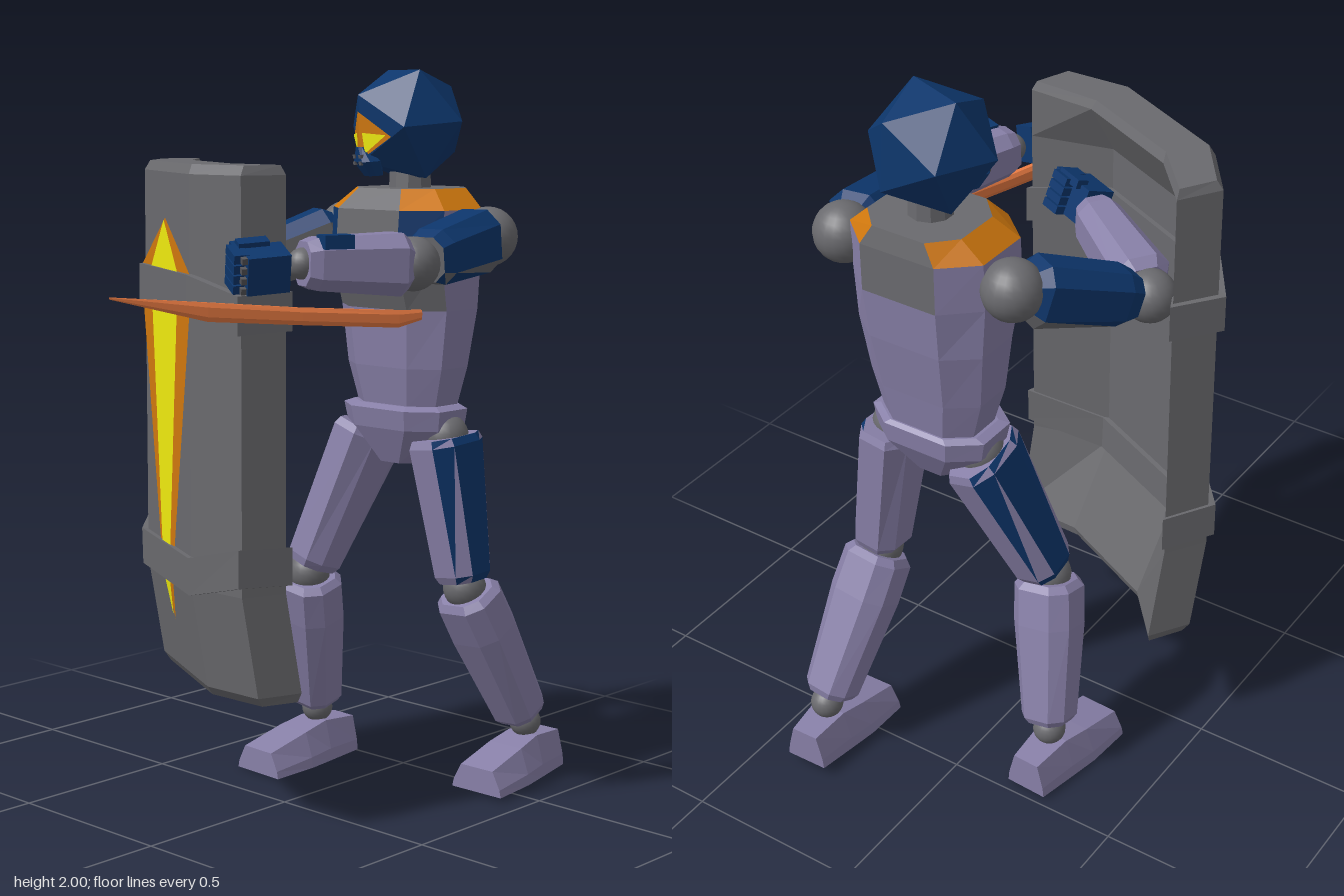
import * as THREE from 'three';

const V = (x, y, z) => new THREE.Vector3(x, y, z);
const mat = (color, extra = {}) => new THREE.MeshStandardMaterial({ color, flatShading: true, ...extra });
const LILAC = mat(0x8880a8), BLUE = mat(0x0d366c), GREY = mat(0x6a6a6e), ORANGE = mat(0xd0780e);
const BLADE = mat(0xe87a42), DARK = mat(0x55555a);
const JOINT = mat(0x6a6a6e, { flatShading: false });
const ORANGE2 = mat(0xd0780e, { side: THREE.DoubleSide }), YELLOW2 = mat(0xf0ec10, { side: THREE.DoubleSide });

function soup(points, material, name) {
  const g = new THREE.BufferGeometry().setFromPoints(points);
  g.computeVertexNormals();
  const m = new THREE.Mesh(g, material);
  m.name = name;
  return m;
}

// Skins a list of rings (counter-clockwise around the direction of travel);
// pick(normal, band, triangle) chooses the material of each triangle.
function loft(name, rings, pick) {
  const parts = new Map(), n = rings[0].length;
  const tri = (a, b, c, i, k) => {
    const normal = b.clone().sub(a).cross(c.clone().sub(a)).normalize();
    const m = pick.isMaterial ? pick : pick(normal, i, k);
    if (!parts.has(m)) parts.set(m, []);
    parts.get(m).push(a, b, c);
  };
  for (let i = 0; i < rings.length - 1; i++) for (let j = 0; j < n; j++) {
    const k = (j + 1) % n, [p, q] = [rings[i], rings[i + 1]];
    tri(p[j], p[k], q[k], i, 0);
    tri(p[j], q[k], q[j], i, 1);
  }
  const first = rings[0], last = rings.at(-1);
  for (let j = 0; j < n / 2 - 1; j++) {
    const ids = [j, j + 1, n - 2 - j, n - 1 - j];
    const [a, b, c, d] = ids.map(i => last[i]), [e, f, g, h] = ids.map(i => first[i]);
    tri(a, b, c, rings.length - 1, 0); tri(a, c, d, rings.length - 1, 1);
    tri(e, g, f, -1, 0); tri(e, h, g, -1, 1);
  }
  const group = new THREE.Group();
  group.name = name;
  for (const [m, pts] of parts) group.add(soup(pts, m, name + 'Panel'));
  return group;
}

// Rectangle with cut corners, spanned by two axes.
const CUT = [[1, -.5], [1, .5], [.55, 1], [-.55, 1], [-1, .5], [-1, -.5], [-.55, -1], [.55, -1]];
const section = (c, w, v, hw, hv) => CUT.map(([a, b]) => c.clone().addScaledVector(w, a * hw).addScaledVector(v, b * hv));

// Tapered limb between two joints; profile rows are [t, half width, half depth].
function limb(name, a, b, profile, pick, ref = V(1, 0, 0)) {
  const d = b.clone().sub(a).normalize();
  const w = ref.clone().addScaledVector(d, -ref.dot(d)).normalize(), v = d.clone().cross(w);
  return loft(name, profile.map(([t, hw, hv]) => section(a.clone().lerp(b, t), w, v, hw, hv)), pick);
}

function ball(name, p, r) {
  const m = new THREE.Mesh(new THREE.SphereGeometry(r, 20, 14), JOINT);
  m.position.copy(p);
  m.name = name;
  return m;
}

function box(name, size, p, material) {
  const m = new THREE.Mesh(new THREE.BoxGeometry(...size), material);
  m.position.set(...p);
  m.name = name;
  return m;
}

function makeFist(name, p, target, side) {
  const g = new THREE.Group();
  g.name = name;
  g.add(box('palm', [.085, .1, .11], [0, 0, 0], BLUE));
  for (let i = 0; i < 4; i++) {
    const y = .04 - i * .027;
    g.add(box('finger', [.07, .023, .04], [side * .015, y, .065], BLUE));
    g.add(box('knuckle', [.03, .016, .018], [side * -.02, y, .06], DARK));
    g.add(box('fingertip', [.03, .022, .06], [side * .055, y, .04], BLUE));
  }
  g.add(box('thumb', [.035, .025, .08], [side * .04, .05, .02], BLUE));
  g.position.copy(p);
  g.lookAt(target);
  g.rotateZ(side * .35);
  return g;
}

function makeHead() {
  const g = new THREE.Group();
  g.name = 'head';
  const helmet = new THREE.Mesh(new THREE.IcosahedronGeometry(.17, 0), BLUE);
  helmet.name = 'helmet';
  g.add(helmet);
  // Visor plates lie on the two front facets
  const on = (s, lift) => ([x, y]) => V(s * x, y, .145 - .386 * x + lift);
  for (const s of [-1, 1]) {
    g.add(soup([[0, .045], [0, -.085], [.105, -.025]].map(on(s, .004)), ORANGE2, 'visorFrame'));
    g.add(soup([[.014, -.012], [.02, -.068], [.092, -.02]].map(on(s, .008)), YELLOW2, 'eye'));
    for (const y of [-.075, -.093]) g.add(box('vent', [.012, .01, .01], [s * .016, y, .156], DARK));
  }
  const guard = [[-.13, .03, .02, .112], [-.09, .042, .03, .128], [-.05, .012, .018, .14]];
  g.add(loft('mouthGuard', guard.map(([y, w, d, z]) => section(V(0, y, z), V(1, 0, 0), V(0, 0, -1), w, d)), BLUE));
  g.position.set(.105, 1.857, -.37);
  g.rotation.set(.08, -.35, 0, 'YXZ');
  return g;
}

function makeTorso() {
  const g = new THREE.Group();
  g.name = 'torso';
  const stack = (name, rows, pick) => loft(name, rows.map(([y, hw, z0, z1]) =>
    section(V(.105, y, (z0 + z1) / 2), V(1, 0, 0), V(0, 0, -1), hw, (z1 - z0) / 2)), pick);
  // Grey breastplate with blue flanks and orange shoulder slopes
  g.add(stack('chest', [[1.09, .14, -.475, -.29], [1.2, .17, -.49, -.27], [1.36, .19, -.515, -.255],
    [1.5, .2, -.53, -.205], [1.63, .2, -.53, -.215], [1.685, .14, -.52, -.26]], (n, i) => {
    if (i >= 4) return Math.abs(n.x) > .3 ? ORANGE : GREY;
    if (i >= 2 && n.z > .8) return GREY;
    if (i >= 2 && n.z > .3) return i === 3 ? BLUE : GREY;
    return i === 3 && n.z < -.85 ? GREY : LILAC;
  }));
  g.add(stack('pelvis', [[.93, .06, -.43, -.31], [1.03, .165, -.485, -.265], [1.085, .175, -.49, -.255], [1.095, .15, -.48, -.28]], LILAC));
  const neck = new THREE.Mesh(new THREE.CylinderGeometry(.055, .06, .12, 10), GREY);
  neck.position.set(.105, 1.72, -.385);
  neck.name = 'neck';
  g.add(neck);
  return g;
}

function makeLeg(side, hip, knee, ankle, heel, toe) {
  const g = new THREE.Group();
  g.name = side > 0 ? 'leftLeg' : 'rightLeg';
  // Blue plate on the outer thigh, narrowing along a diagonal on the front
  g.add(limb('thigh', hip, knee, [[0, .065, .1], [.05, .075, .107], [.9, .068, .075], [.95, .055, .065]],
    (n, i, k) => i >= 0 && i < 3 && (n.x * side > .8 || (n.x * side > .3 && k === 0)) ? BLUE : LILAC));
  g.add(limb('shin', knee, ankle, [[.03, .07, .065], [.07, .086, .08], [.3, .088, .08], [.9, .068, .068], [.94, .056, .056]], LILAC));
  g.add(ball('hipJoint', hip, .065), ball('kneeJoint', knee, .06), ball('ankleJoint', ankle, .045));
  // Foot: rows are [t from heel to toe, half width, top above the sole]
  const d = toe.clone().sub(heel).setY(0).normalize(), w = V(0, 1, 0).cross(d);
  g.add(loft('foot', [[0, .06, .1], [.35, .075, .115], [.6, .085, .1], [1, .085, .07]].map(([t, hw, h]) => {
    const c = heel.clone().lerp(toe, t);
    return [[1, 0], [.95, .3], [.65, 1], [-.65, 1], [-.95, .3], [-1, 0]].map(([a, b]) =>
      c.clone().addScaledVector(w, a * hw).add(V(0, b * h, 0)));
  }), LILAC));
  return g;
}

function makeArm(side, shoulder, elbow, wrist, hand, target) {
  const g = new THREE.Group();
  g.name = side > 0 ? 'leftArm' : 'rightArm';
  const up = V(0, 1, 0);
  g.add(limb('upperArm', shoulder, elbow, [[.08, .06, .055], [.16, .084, .076], [.75, .072, .07], [.85, .058, .058]],
    (n, i, k) => n.y > .4 || (n.x * side > .3 && (n.y > -.2 || k)) ? BLUE : GREY, up));
  g.add(limb('forearm', elbow, wrist, [[.08, .062, .058], [.16, .08, .076], [.9, .066, .06], [1, .055, .048]], LILAC, up));
  g.add(ball('shoulderJoint', shoulder, .08), ball('elbowJoint', elbow, .07), ball('wristJoint', wrist, .04));
  g.add(makeFist('fist', hand, target, -side));
  return g;
}

function makeShield() {
  const g = new THREE.Group();
  g.name = 'shield';
  const half = [[.36, 0], [.2, .085]];
  const flip = ([u, n]) => [-u, n];
  // Outline grown by o, with the inner face at the given depth
  const profile = (o, depth) => {
    const f = half.map(([u, n]) => [u + o, n + o]);
    const b = [[.345, -.125], [.17, depth]].map(([u, n]) => [u + o * .6, n - o]);
    return [...f.map(flip), f[1], f[0], ...b, flip(b[1]), flip(b[0])];
  };
  // The lower end leans back
  const lean = y => Math.min(0, (y - .66) * .16);
  const at = (u, n, y) => V(-.155 + .9 * u - .44 * (n + lean(y)), y, .172 + .44 * u + .9 * (n + lean(y)));
  const ring = (o, depth, y, slope = 0) => profile(o, depth).map(([u, n]) => at(u, n, y + slope * Math.max(0, Math.abs(u) - .2)));
  // Dished inside, thicker towards the top and bottom rims
  g.add(loft('plate', [ring(-.012, -.05, .365), ring(0, -.05, .39), ring(0, .02, .66),
    ring(0, .02, 1.6), ring(0, -.05, 1.735), ring(-.012, -.05, 1.76)], GREY));
  for (const [y, s] of [[1.385, -.28], [.64, .28]]) g.add(loft('band', [ring(.014, .02, y, s), ring(.014, .02, y + .1, s)], GREY));
  // Kite emblem: rows are [y, half width]
  const kite = (name, rows, lift, m) => {
    const pts = [];
    rows.slice(1).forEach(([y1, w1], i) => {
      const [y0, w0] = rows[i], n = .085 + lift;
      const [a, b, c, d] = [at(-w0, n, y0), at(w0, n, y0), at(w1, n, y1), at(-w1, n, y1)];
      pts.push(a, d, c, a, c, b);
    });
    g.add(soup(pts, m, name));
  };
  kite('kiteBorder', [[1.615, 0], [1.48, .215], [1.38, .21], [.66, .045], [.53, 0]], .004, ORANGE2);
  kite('kiteCentre', [[1.61, 0], [1.48, .118], [1.38, .112], [.66, .027], [.54, 0]], .008, YELLOW2);
  return g;
}

function makeBlade() {
  const tail = V(.462, 0, -.02), tip = V(.142, 0, .745);
  const w = V(.92, 0, .385);
  // Rows: t, lower edge, upper edge, half thickness
  const rows = [[0, 1.372, 1.397, .006], [.08, 1.355, 1.399, .01], [.4, 1.372, 1.415, .012], [.7, 1.39, 1.437, .011], [1, 1.453, 1.458, .001]];
  return loft('blade', rows.map(([t, y0, y1, h]) =>
    section(tail.clone().lerp(tip, t).setY((y0 + y1) / 2), w, V(0, 1, 0), h, (y1 - y0) / 2)), BLADE);
}

export function createModel() {
  const model = new THREE.Group();
  model.name = 'shieldFighter';
  model.add(makeHead(), makeTorso(), makeShield(), makeBlade());
  model.add(makeLeg(1, V(.245, 1.01, -.38), V(.3, .59, -.405), V(.34, .17, -.635), V(.34, .03, -.74), V(.348, .012, -.41)));
  model.add(makeLeg(-1, V(-.015, 1.01, -.37), V(-.15, .59, -.255), V(-.225, .155, -.37), V(-.22, .012, -.48), V(-.238, 0, -.135)));
  model.add(makeArm(1, V(.36, 1.56, -.41), V(.42, 1.51, -.035), V(.305, 1.52, .25), V(.265, 1.51, .345), V(.2, 1.5, .47)));
  model.add(makeArm(-1, V(-.15, 1.56, -.41), V(-.33, 1.43, -.07), V(-.03, 1.475, .135), V(.02, 1.485, .17), V(.3, 1.5, .29)));
  const cuff = box('cuff', [.055, .035, .08], [.37, 1.575, .2], BLUE);
  cuff.rotation.y = -.4;
  model.add(cuff);
  return model;
}
